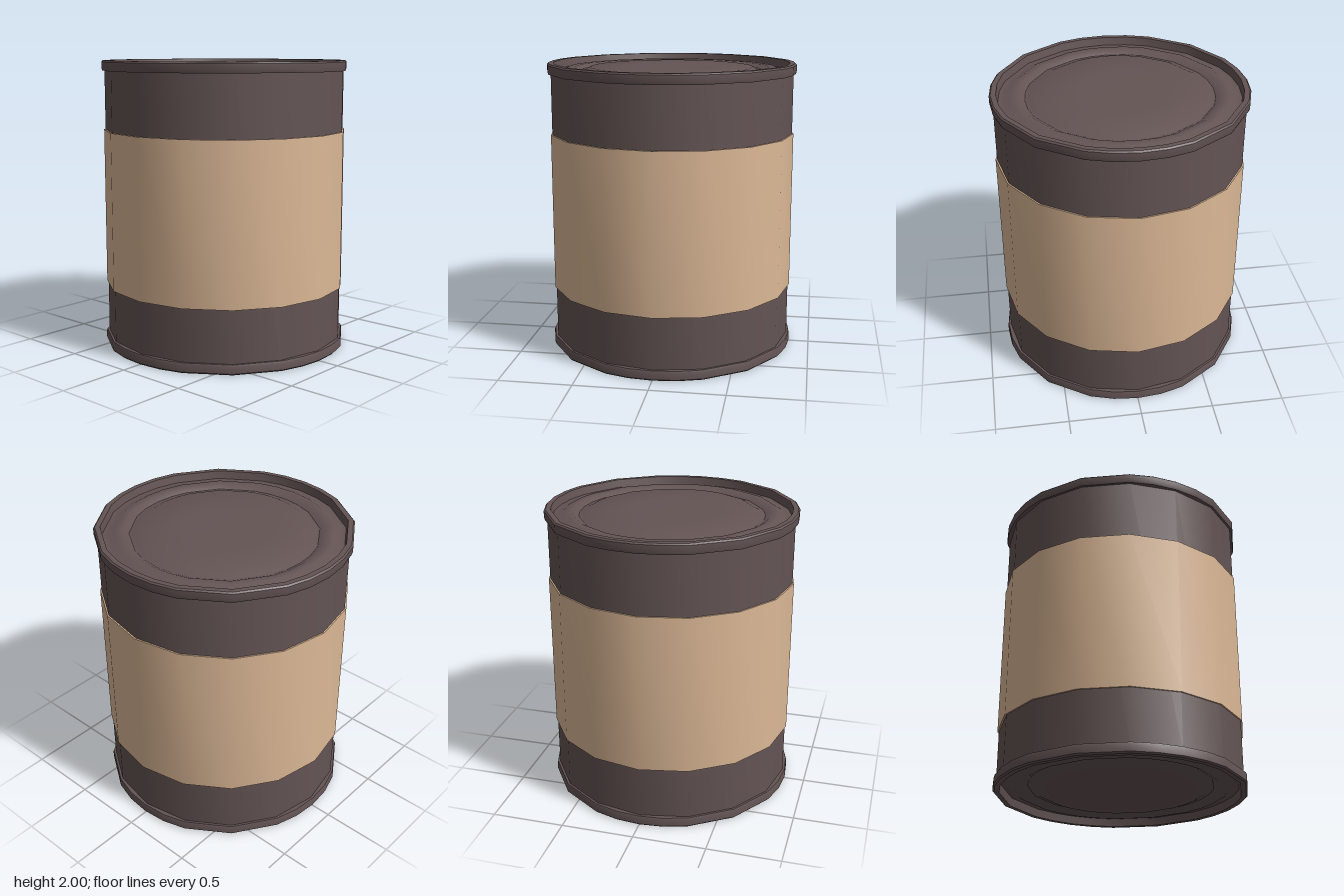
import * as THREE from 'three';
import { toCreasedNormals } from 'three/addons/utils/BufferGeometryUtils.js';

const dark = new THREE.MeshStandardMaterial({ color: 0x645454 });
dark.name = 'dark metal';
const tan = new THREE.MeshStandardMaterial({ color: 0xdcb896 });
tan.name = 'tan label';

// Turn a [radius, height] profile about the y axis, keeping sharp corners crisp.
function lathe(profile, segments, adjust) {
  const points = profile.map(([r, y]) => new THREE.Vector2(r, y));
  const geometry = new THREE.LatheGeometry(points, segments);
  if (adjust) adjust(geometry.attributes.position, points.length);
  return toCreasedNormals(geometry, THREE.MathUtils.degToRad(32));
}

// Flatten the diagonal facets of the rim, leaving finer ones near the axes.
function flattenDiagonals(position, count) {
  const k = Math.cos(Math.PI / 16);
  for (let i = 0; i < position.count; i++) {
    const step = Math.floor(i / count) % 8;
    if (step === 3 || step === 5) {
      position.setX(i, position.getX(i) * k);
      position.setZ(i, position.getZ(i) * k);
    }
  }
}

export function createModel() {
  const can = new THREE.Group();
  can.name = 'tinCan';
  const add = (name, geometry, material) => {
    const mesh = new THREE.Mesh(geometry, material);
    mesh.name = name;
    can.add(mesh);
    return mesh;
  };

  // Cylindrical wall
  add('wall', lathe([[0.84, 0.04], [0.84, 1.96]], 16), dark);

  // Paper label wrapped round the wall
  add('label', lathe([[0.835, 0.43], [0.85, 0.43], [0.85, 1.52], [0.835, 1.52]], 16), tan);

  // Lid: rolled rim, sunken groove, raised ring and raised centre panel
  const lid = [
    [0.82, 1.93], [0.855, 1.93], [0.86, 1.945], [0.86, 1.99], [0.85, 2], [0.815, 2],
    [0.805, 1.945], [0.76, 1.945], [0.72, 1.967], [0.67, 1.967],
    [0.63, 1.945], [0.605, 1.948], [0.56, 1.97], [0.3, 1.973], [0, 1.975],
  ];
  add('topLid', lathe(lid, 32, flattenDiagonals), dark);

  // The base repeats the lid upside down
  const base = lid.map(([r, y]) => [r, 2 - y]).reverse();
  add('bottomLid', lathe(base, 32, flattenDiagonals), dark);

  return can;
}
